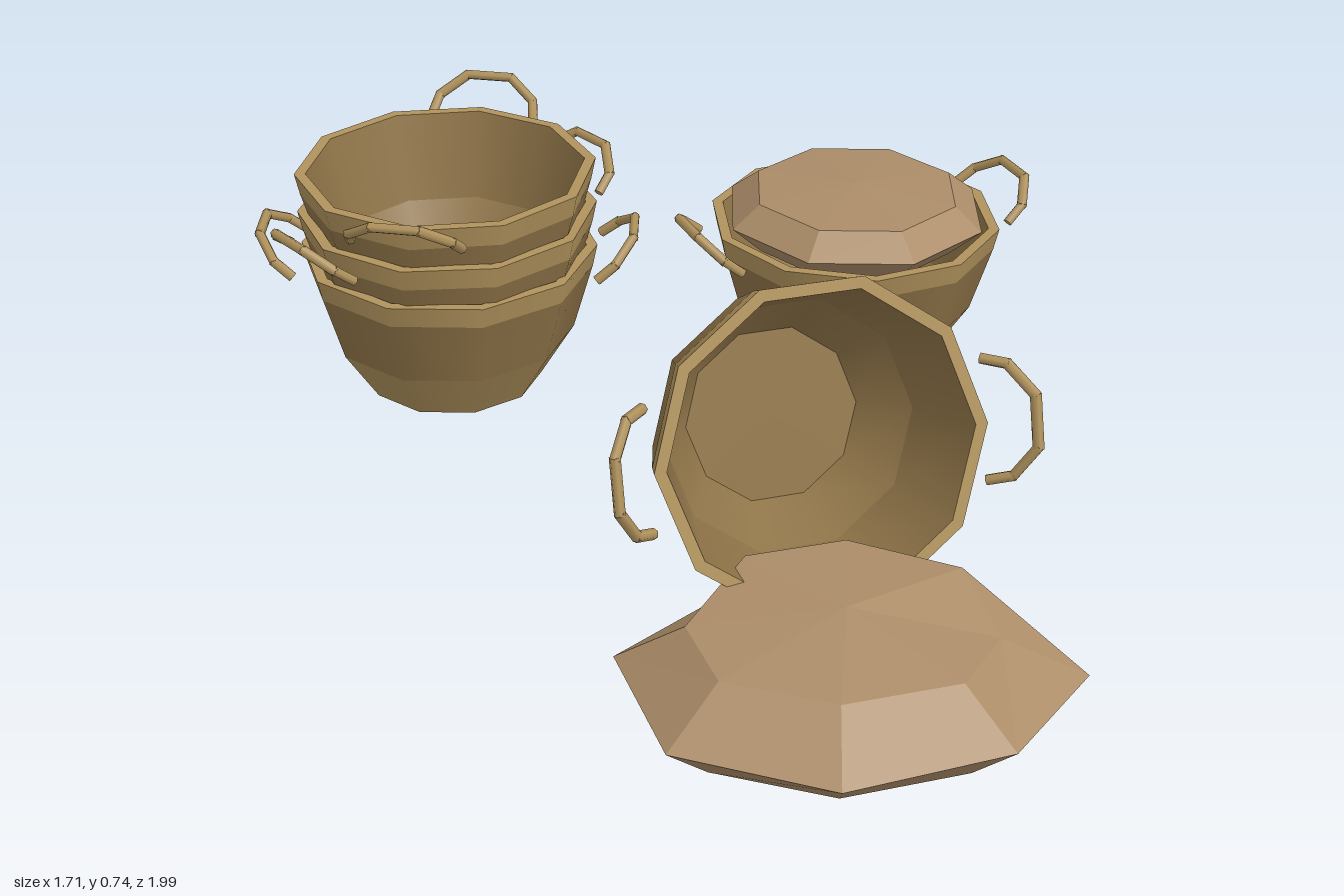
import * as THREE from 'three';
import { mergeGeometries } from 'three/addons/utils/BufferGeometryUtils.js';

const light = new THREE.MeshStandardMaterial({ color: 0xb0925c });
const dark = new THREE.MeshStandardMaterial({ color: 0x8f7448 });
const lidMaterial = new THREE.MeshStandardMaterial({ color: 0xab8c68, flatShading: true });
const SIDES = 10;

function addMesh(parent, name, geometry, material) {
  const mesh = new THREE.Mesh(geometry, material);
  mesh.name = name;
  parent.add(mesh);
  return mesh;
}

// One lathe per straight stretch keeps the edges between bands sharp
function band(...profile) {
  const parts = [];
  for (let i = 0; i < profile.length - 1; i++) {
    const pts = [profile[i], profile[i + 1]].map(([r, y]) => new THREE.Vector2(r, y));
    parts.push(new THREE.LatheGeometry(pts, SIDES, Math.PI / 2));
  }
  return mergeGeometries(parts);
}

// Bent rod: straight pieces between the points of an arch that leans outward
function handleGeometry() {
  const path = [
    [0.33, 0.295, -0.117], [0.367, 0.325, -0.108], [0.404, 0.363, -0.05],
    [0.404, 0.363, 0.05], [0.367, 0.325, 0.108], [0.33, 0.295, 0.117],
  ].map((p) => new THREE.Vector3(...p));
  const up = new THREE.Vector3(0, 1, 0);
  const rods = [];
  for (let i = 0; i < path.length - 1; i++) {
    const dir = path[i + 1].clone().sub(path[i]);
    const rod = new THREE.CylinderGeometry(0.011, 0.011, dir.length() + 0.008, 6);
    const mid = path[i].clone().lerp(path[i + 1], 0.5);
    rod.applyQuaternion(new THREE.Quaternion().setFromUnitVectors(up, dir.normalize()));
    rods.push(rod.translate(mid.x, mid.y, mid.z));
  }
  return mergeGeometries(rods);
}

// Basket standing on its own y = 0, handles along its x axis
function makeBasket(name) {
  const basket = new THREE.Group();
  basket.name = name;
  addMesh(basket, 'lowerBand', band([0, 0], [0.195, 0], [0.27, 0.12]), light);
  addMesh(basket, 'middleBand', band([0.27, 0.12], [0.314, 0.272]), dark);
  addMesh(basket, 'rimBand', band([0.314, 0.272], [0.324, 0.32], [0.3, 0.32]), light);
  addMesh(basket, 'innerWall', band([0.3, 0.32], [0.25, 0.13], [0.175, 0.02], [0, 0.02]), dark);
  const geometry = handleGeometry();
  for (const side of [0, 1]) {
    addMesh(basket, side ? 'rightHandle' : 'leftHandle', geometry, light).rotation.y = side * Math.PI;
  }
  return basket;
}

// Closed faceted solid from rings listed bottom to top, each running from +x towards -z
function ringSolid(rings, bottom, top) {
  const pos = [];
  const tri = (...corners) => corners.forEach((c) => pos.push(...c));
  const n = rings[0].length;
  for (let i = 0; i < n; i++) {
    const j = (i + 1) % n;
    tri(bottom, rings[0][j], rings[0][i]);
    for (let k = 0; k < rings.length - 1; k++) {
      const [a, b] = [rings[k], rings[k + 1]];
      tri(a[i], a[j], b[j]);
      tri(a[i], b[j], b[i]);
    }
    const last = rings[rings.length - 1];
    tri(last[i], last[j], top);
  }
  const geometry = new THREE.BufferGeometry();
  geometry.setAttribute('position', new THREE.Float32BufferAttribute(pos, 3));
  geometry.computeVertexNormals();
  return geometry;
}

function octagon(r, y) {
  return Array.from({ length: 8 }, (_, i) => {
    const a = ((i + 0.5) * Math.PI) / 4;
    return [r * Math.cos(a), y, -r * Math.sin(a)];
  });
}

export function createModel() {
  const model = new THREE.Group();
  const deg = Math.PI / 180;

  // Three nested baskets, each turned further than the one below
  [[0.07, 0], [0.16, 42], [0.255, 81]].forEach(([y, turn], i) => {
    const basket = makeBasket('stackedBasket' + (i + 1));
    basket.position.set(-0.437, y, -0.517);
    basket.rotation.y = turn * deg;
    model.add(basket);
  });

  // Basket closed by a lid
  const closed = makeBasket('lidded basket');
  closed.position.set(0.455, 0.07, -0.68);
  closed.rotation.y = 24 * deg;
  model.add(closed);
  const fitted = ringSolid(
    [octagon(0.225, 0.27), octagon(0.295, 0.335), octagon(0.232, 0.385)], [0, 0.27, 0], [0, 0.4, 0]);
  addMesh(model, 'fittedLid', fitted, lidMaterial).position.set(0.455, 0.07, -0.68);

  // Basket tipped onto its side, opening to the front
  const tipped = makeBasket('tipped basket');
  tipped.position.set(0.247, 0.352, 0.132);
  tipped.rotation.set(1.266, 0.31, 0, 'YXZ');
  model.add(tipped);

  // Loose lid lying on the ground, wider than deep
  const rim = [
    [0.825, 0.105, 0.64], [0.67, 0.135, 0.45], [0.41, 0.145, 0.37], [0.17, 0.145, 0.45],
    [-0.04, 0.125, 0.63], [0.06, 0.115, 0.9], [0.36, 0.11, 0.99], [0.67, 0.105, 0.87],
  ];
  const crown = [
    [0.66, 0.185, 0.64], [0.6, 0.235, 0.49], [0.39, 0.24, 0.41], [0.2, 0.235, 0.46],
    [0.09, 0.215, 0.66], [0.15, 0.207, 0.81], [0.36, 0.205, 0.87], [0.58, 0.195, 0.79],
  ];
  const foot = rim.map(([x, , z]) => {
    const fx = 0.38 + (x - 0.38) * 0.77;
    return [fx, 0.02 * (0.72 - fx), 0.64 + (z - 0.64) * (z > 0.64 ? 0.68 : 0.86)];
  });
  const loose = ringSolid([foot, rim, crown], [0.38, 0.007, 0.64], [0.38, 0.242, 0.63]);
  addMesh(model, 'looseLid', loose, lidMaterial);

  return model;
}
